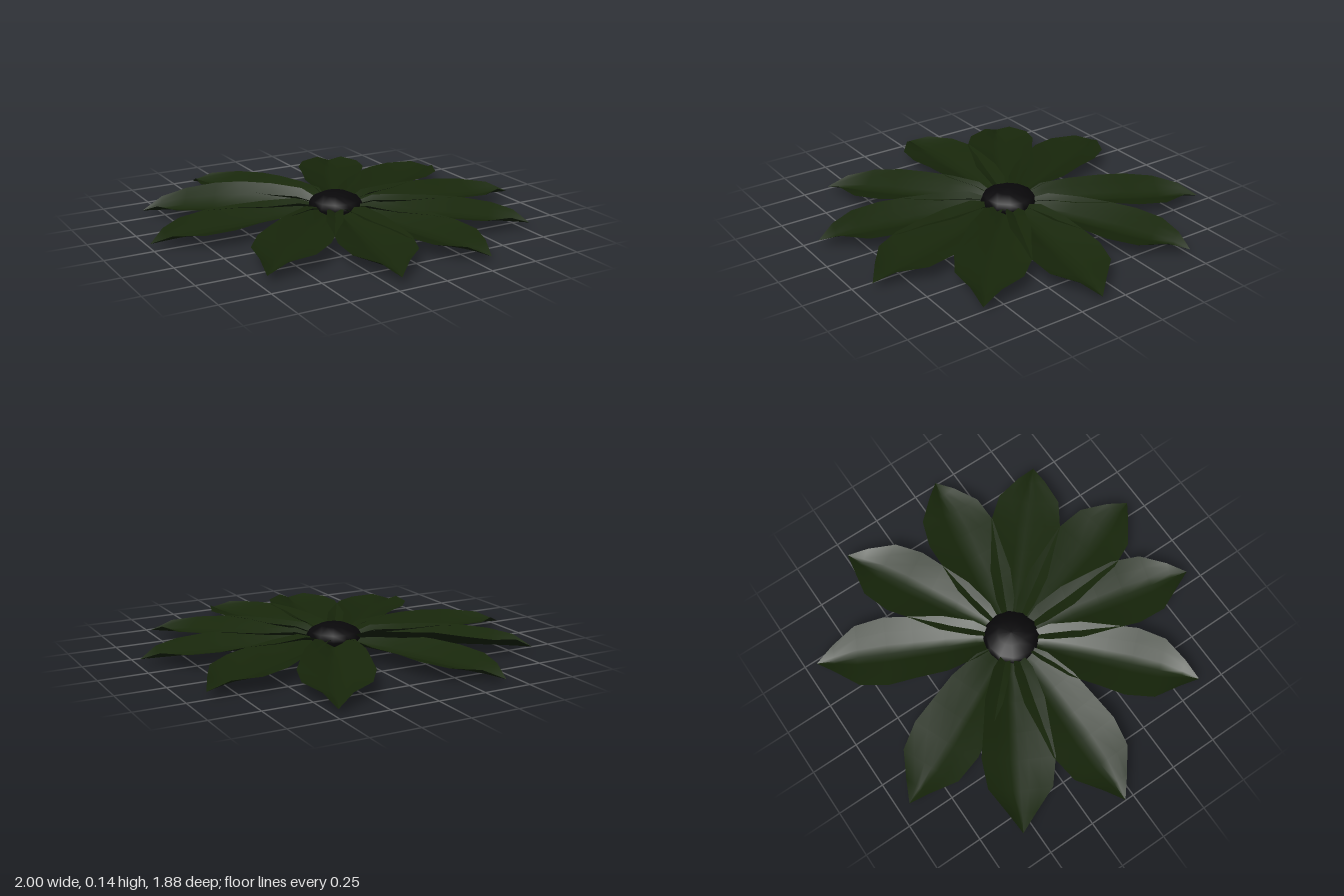
import * as THREE from 'three';

const HUB = { x: 0.015, z: -0.04 };

// Petal cross-sections from root to tip: distance (share of length), half width, edge height, midrib height
const SECTIONS = [
  [0.06, 0.03, 0.06, 0.04],
  [0.18, 0.1, 0.1, 0.04],
  [0.34, 0.15, 0.096, 0.037],
  [0.50, 0.167, 0.096, 0.035],
  [0.64, 0.184, 0.088, 0.035],
  [0.79, 0.16, 0.08, 0.035],
  [0.91, 0.07, 0.076, 0.035],
  [1.00, 0.0, 0.034, 0.034],
];
const ACROSS = [-1, -0.6, -0.25, 0, 0.25, 0.6, 1];

// Petal tips: x, z, drop of the tip, lift of one side edge
const PETALS = [
  [0.995, 0.13, 0, 0],
  [0.765, 0.62, 0, 0],
  [0.305, 0.92, 0, 0],
  [-0.20, 0.94, 0, 0],
  [-0.71, 0.63, 0, 0],
  [-1.0, -0.05, 0.012, 0],
  [-0.85, -0.56, 0.012, 0.04],
  [-0.41, -0.94, 0.012, 0],
  [0.475, -0.94, 0.012, 0],
  [0.90, -0.49, 0, 0],
];

// Leaf-shaped sheet with a sunken midrib, running from the hub to its tip
function petalGeometry(tipX, tipZ, drop, lift) {
  const dx = tipX - HUB.x, dz = tipZ - HUB.z;
  const len = Math.hypot(dx, dz);
  const px = -dz / len, pz = dx / len;
  const positions = [], index = [], n = ACROSS.length;
  SECTIONS.forEach(([t, w, edge, midrib], i) => {
    for (const u of ACROSS) {
      const raise = u > 0 ? lift * u * u * Math.sin(Math.PI * t) : 0;
      positions.push(
        HUB.x + dx * t + px * w * u,
        midrib + (edge - midrib) * Math.abs(u) + raise - drop * t ** 4,
        HUB.z + dz * t + pz * w * u,
      );
    }
    if (i === 0) return;
    for (let k = 0; k < n - 1; k++) {
      const a = (i - 1) * n + k, c = i * n + k;
      index.push(a, a + 1, c, a + 1, c + 1, c);
    }
  });
  const geo = new THREE.BufferGeometry();
  geo.setAttribute('position', new THREE.Float32BufferAttribute(positions, 3));
  geo.setIndex(index);
  geo.computeVertexNormals();
  return geo;
}

export function createModel() {
  const group = new THREE.Group();
  group.name = 'flower';
  const green = new THREE.MeshStandardMaterial({ color: 0x18270b, side: THREE.DoubleSide });
  const black = new THREE.MeshStandardMaterial({ color: 0x09080a });

  // Ring of ten petals
  PETALS.forEach((p, i) => {
    const petal = new THREE.Mesh(petalGeometry(...p), green);
    petal.name = `petal${i + 1}`;
    group.add(petal);
  });

  // Rounded seed head in the middle
  const profile = [[0, 0], [0.05, 0.006], [0.115, 0.028], [0.145, 0.065], [0.128, 0.098], [0.07, 0.127], [0, 0.132]]
    .map(([r, y]) => new THREE.Vector2(r, y));
  const seedHead = new THREE.Mesh(new THREE.LatheGeometry(profile, 12), black);
  seedHead.name = 'seedHead';
  seedHead.position.set(HUB.x, 0, HUB.z);
  group.add(seedHead);

  return group;
}
